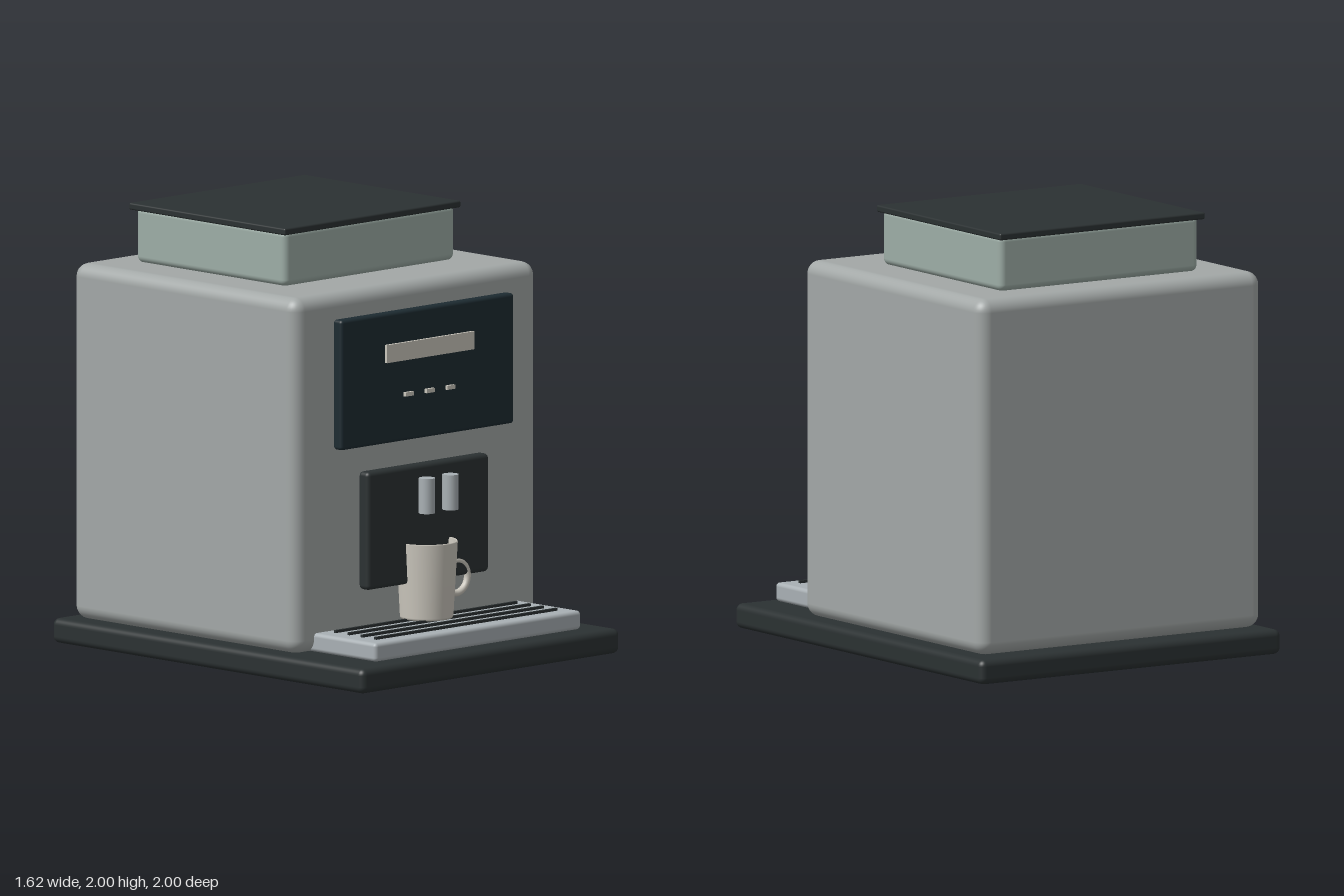
import * as THREE from 'three';
import { RoundedBoxGeometry } from 'three/addons/geometries/RoundedBoxGeometry.js';

export function createModel() {
  const group = new THREE.Group();
  const mat = (color) => new THREE.MeshStandardMaterial({ color });
  const steel = mat(0xa3a8a7), dark = mat(0x2b3132), glass = mat(0x9dada6);
  const panel = mat(0x1d2b31), chrome = mat(0xa9b0b4), cream = mat(0xcbc7bd);
  const cup = new THREE.Group();
  cup.name = 'cup';

  function add(name, geometry, material, x = 0, y = 0, z = 0, parent = group) {
    const mesh = new THREE.Mesh(geometry, material);
    mesh.name = name;
    mesh.position.set(x, y, z);
    parent.add(mesh);
    return mesh;
  }

  // Box given by half width, y range and z range; rounded when a radius is set
  function box(name, material, halfW, y0, y1, z0, z1, r = 0, x = 0) {
    const size = [halfW * 2, y1 - y0, z1 - z0];
    const geometry = r ? new RoundedBoxGeometry(...size, 4, r) : new THREE.BoxGeometry(...size);
    return add(name, geometry, material, x, (y0 + y1) / 2, (z0 + z1) / 2);
  }

  // Housing
  box('base', dark, 0.812, 0, 0.112, -1, 1, 0.03);
  box('body', steel, 0.764, 0.115, 1.733, -0.92, 0.52, 0.06);

  // Bean hopper and lid
  box('beanHopper', glass, 0.537, 1.73, 1.985, -0.74, 0.22, 0.03);
  box('hopperLid', dark, 0.554, 1.969, 2, -0.765, 0.237, 0.008);

  // Control panel with display and buttons
  box('controlPanel', panel, 0.544, 1.03, 1.622, 0.534, 0.59, 0.015);
  box('display', cream, 0.275, 1.4, 1.482, 0.594, 0.608);
  for (const x of [-0.132, 0, 0.13]) box('button', cream, 0.025, 1.234, 1.253, 0.594, 0.608, 0, x);

  // Brewing plate with two spouts
  box('brewPlate', dark, 0.382, 0.375, 0.912, 0.53, 0.596, 0.02);
  for (const x of [-0.078, 0.07]) {
    add('spout', new THREE.CylinderGeometry(0.037, 0.037, 0.16, 24), chrome, x, 0.782, 0.663);
  }

  // Drip tray with dark grate lines
  box('dripTray', chrome, 0.648, 0.118, 0.203, 0.4, 0.915, 0.018);
  for (let i = 0; i < 4; i++) {
    const z = 0.575 + i * 0.086;
    box('grateLine', dark, 0.57, 0.198, 0.215, z - 0.007, z + 0.007);
  }

  // Open cup with wall thickness, and its ring handle
  const profile = [[0, 0], [0.118, 0], [0.122, 0.01], [0.142, 0.346], [0.139, 0.351],
    [0.13, 0.346], [0.11, 0.02], [0, 0.02]].map(([r, y]) => new THREE.Vector2(r, y));
  const wall = add('cupWall', new THREE.LatheGeometry(profile, 40), cream, 0, 0, 0, cup);
  wall.material = cream.clone();
  wall.material.side = THREE.DoubleSide;
  add('cupHandle', new THREE.TorusGeometry(0.075, 0.016, 12, 36), cream, 0.184, 0.162, 0, cup);
  cup.position.set(-0.004, 0.21, 0.583);
  group.add(cup);

  return group;
}
